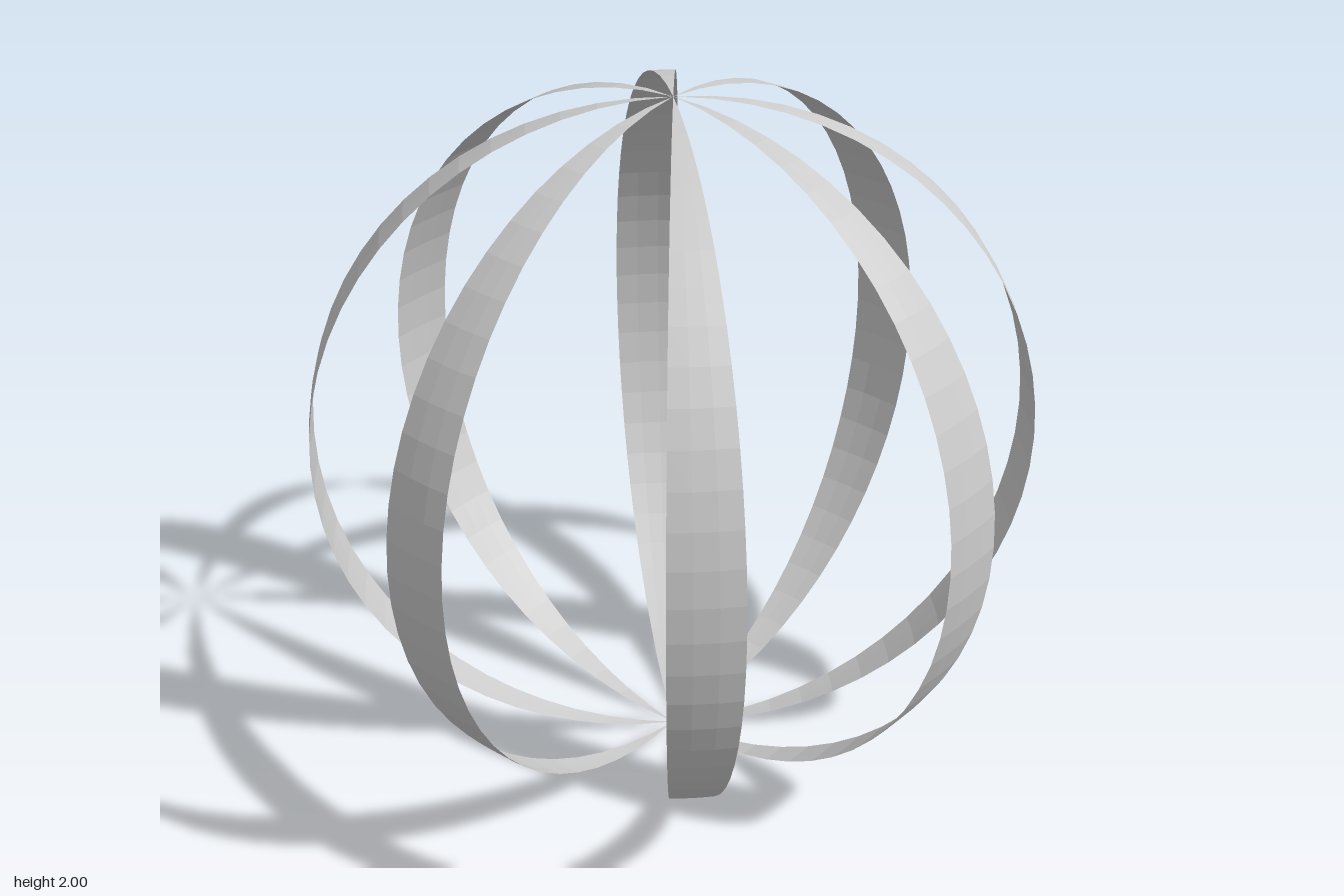
import * as THREE from 'three';

// Open globe made of eight thin, evenly spaced meridian bands
export function createModel() {
  const group = new THREE.Group();
  group.name = 'bandedGlobe';
  const material = new THREE.MeshStandardMaterial({
    color: 0xcccccc, flatShading: true, side: THREE.DoubleSide,
  });

  const bands = 8;
  const bandAngle = Math.PI / 16;
  // One flat-across gore from pole to pole
  const gore = new THREE.SphereGeometry(1, 1, 32, Math.PI - bandAngle, bandAngle);

  for (let i = 0; i < bands; i++) {
    const band = new THREE.Mesh(gore, material);
    band.name = `meridianBand${i + 1}`;
    band.position.y = 1;
    band.rotation.y = (-i * 2 * Math.PI) / bands;
    group.add(band);
  }
  return group;
}
